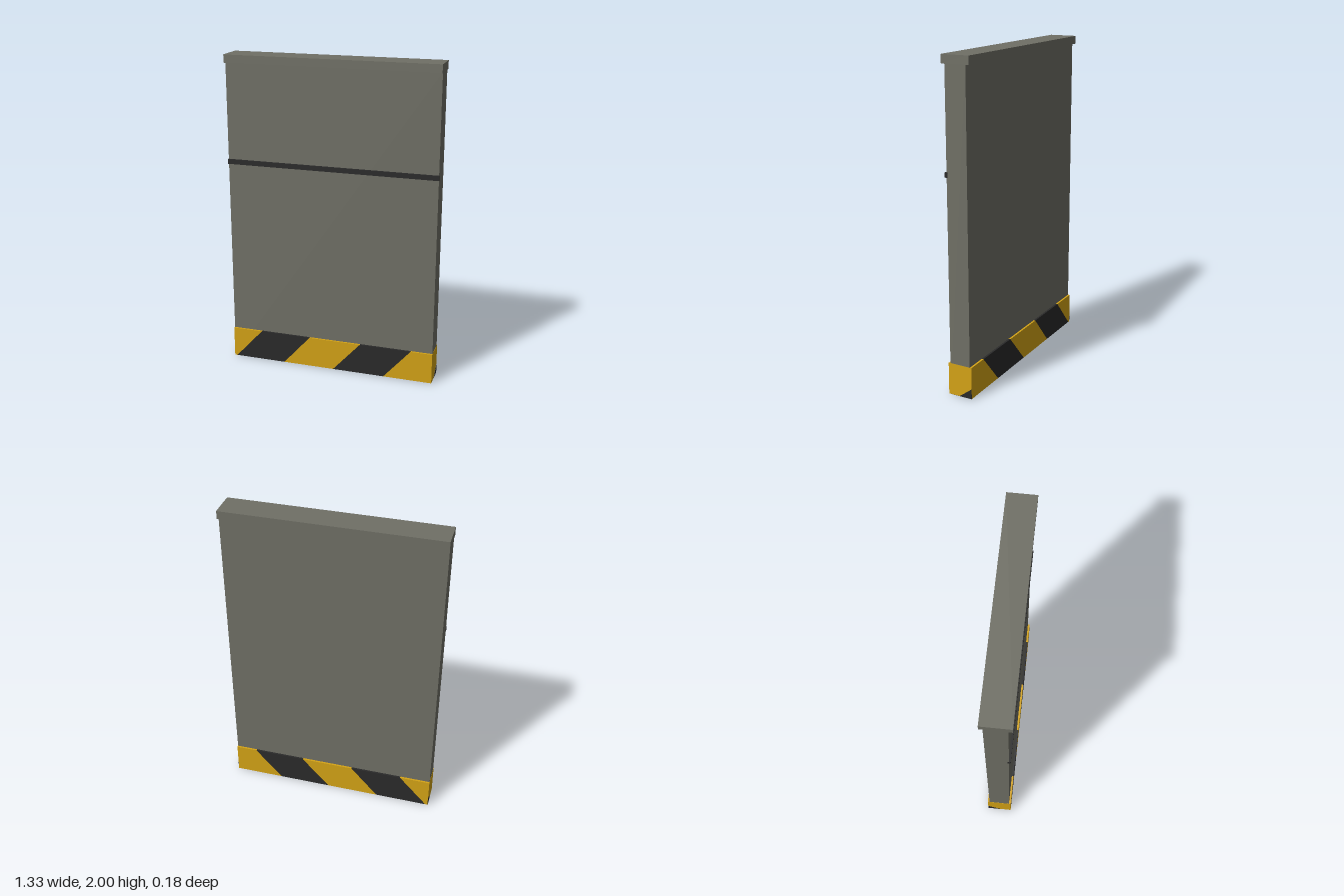
import * as THREE from 'three';

export function createModel() {
  const model = new THREE.Group();
  model.name = 'barrierWall';

  const material = (name, color) => {
    const m = new THREE.MeshStandardMaterial({ color });
    m.name = name;
    return m;
  };
  const concrete = material('concrete grey', 0x707066);
  const yellow = material('hazard yellow', 0xd4a316);
  const black = material('hazard black', 0x2a2a2a);

  const add = (name, geometry, mat, parent = model) => {
    const mesh = new THREE.Mesh(geometry, mat);
    mesh.name = name;
    parent.add(mesh);
    return mesh;
  };
  // Box given by its width, its y range and its z range
  const box = (name, w, y0, y1, z0, z1, mat) =>
    add(name, new THREE.BoxGeometry(w, y1 - y0, z1 - z0), mat)
      .position.set(0, (y0 + y1) / 2, (z0 + z1) / 2);
  const prism = (points, depth) => new THREE.ExtrudeGeometry(
    new THREE.Shape(points.map(([x, y]) => new THREE.Vector2(x, y))),
    { depth, bevelEnabled: false });

  // Slab, overhanging cap and the dark line across the front
  box('wallPanel', 1.33, 0, 1.95, -0.066, 0.066, concrete);
  box('topCap', 1.334, 1.95, 2, -0.088, 0.088, concrete);
  box('frontTrim', 1.334, 1.32, 1.35, 0.06, 0.077, black);

  // Hazard band: slanted blocks of alternating colour around the foot
  const band = new THREE.Group();
  band.name = 'hazardBand';
  model.add(band);
  const halfWidth = 0.666, bottom = 0.002, top = 0.2, halfDepth = 0.078;
  const lower = [-halfWidth, -0.65, -0.315, 0.02, 0.355, halfWidth];
  const upper = [-halfWidth, -0.47, -0.14, 0.198, 0.528, halfWidth];
  for (let i = 0; i < 5; i++) {
    const dark = i % 2 === 1;
    const block = prism([
      [lower[i], bottom], [lower[i + 1], bottom],
      [upper[i + 1], top], [upper[i], top],
    ], 2 * halfDepth).translate(0, 0, -halfDepth);
    add(dark ? 'blackStripe' : 'yellowStripe', block, dark ? black : yellow, band);
  }

  // Black corner of the pattern on each end
  for (const x of [0.667, -0.665]) {
    const corner = prism([[-halfDepth, bottom], [0.005, bottom], [-halfDepth, 0.065]], 0.002)
      .rotateY(-Math.PI / 2).translate(x, 0, 0);
    add('endStripe', corner, black, band);
  }

  return model;
}
